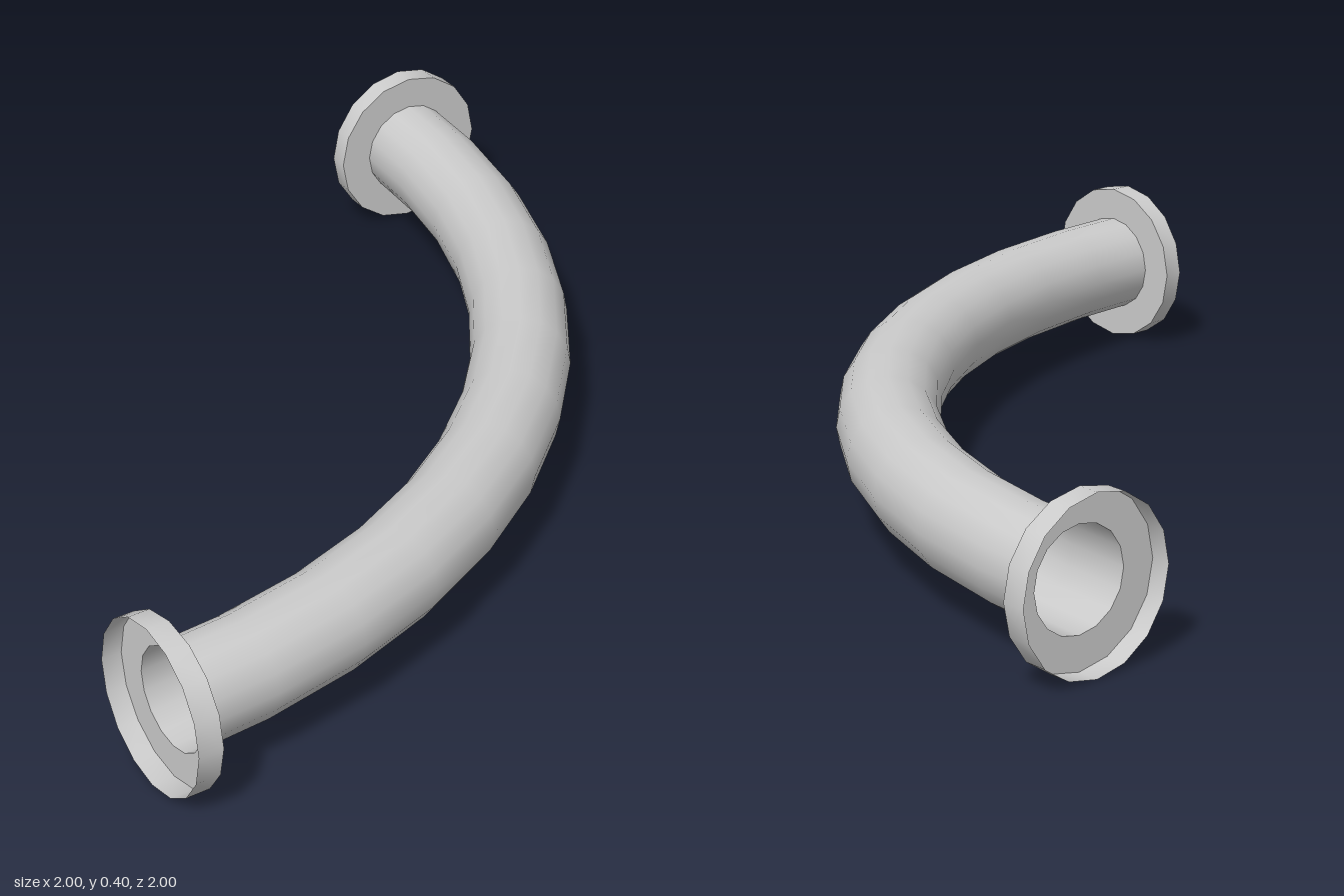
import * as THREE from 'three';

const SIDES = 16;
const BEND = 1.8;            // radius of the pipe's centre line
const PIPE = 0.12;
const FLANGE = 0.2;
const QUARTER = Math.PI / 2;
const LIP = 0.03;            // angle taken up by each flange

const material = new THREE.MeshStandardMaterial({ color: 0xcccccc, side: THREE.DoubleSide });

// Skin through rings [bend angle, ring radius] placed along the quarter bend
function sweep(name, rings) {
  const positions = [];
  const index = [];
  rings.forEach(([t, r], i) => {
    for (let j = 0; j < SIDES; j++) {
      const a = (j / SIDES) * Math.PI * 2;
      const d = BEND + r * Math.cos(a);
      positions.push(-1 + d * Math.sin(t), FLANGE + r * Math.sin(a), -1 + d * Math.cos(t));
      if (i === rings.length - 1) continue;
      const p = i * SIDES + j;
      const q = i * SIDES + (j + 1) % SIDES;
      index.push(p, p + SIDES, q, q, p + SIDES, q + SIDES);
    }
  });
  const geometry = new THREE.BufferGeometry();
  geometry.setAttribute('position', new THREE.Float32BufferAttribute(positions, 3));
  geometry.setIndex(index);
  geometry.computeVertexNormals();
  const mesh = new THREE.Mesh(geometry, material);
  mesh.name = name;
  return mesh;
}

export function createModel() {
  const model = new THREE.Group();
  model.name = 'pipeBend';

  // Open pipe, twelve steps round the bend, ending at the flange plates
  const pipeRings = [];
  for (let i = 0; i <= 12; i++) {
    const t = THREE.MathUtils.clamp((i / 12) * QUARTER, LIP, QUARTER - LIP);
    pipeRings.push([t, PIPE]);
  }
  model.add(sweep('pipe', pipeRings));

  // Flanges: a ring plate around the pipe and a rim open towards the end
  for (const [name, start, end] of [['rightFlange', 0, LIP], ['leftFlange', QUARTER, QUARTER - LIP]]) {
    const flange = new THREE.Group();
    flange.name = name;
    const rim = [[start, FLANGE], [end, FLANGE]];
    const plate = [[end, FLANGE], [end, PIPE]];
    if (start > end) {
      rim.reverse();
      plate.reverse();
    }
    flange.add(sweep('flangeRim', rim), sweep('flangePlate', plate));
    model.add(flange);
  }
  return model;
}
